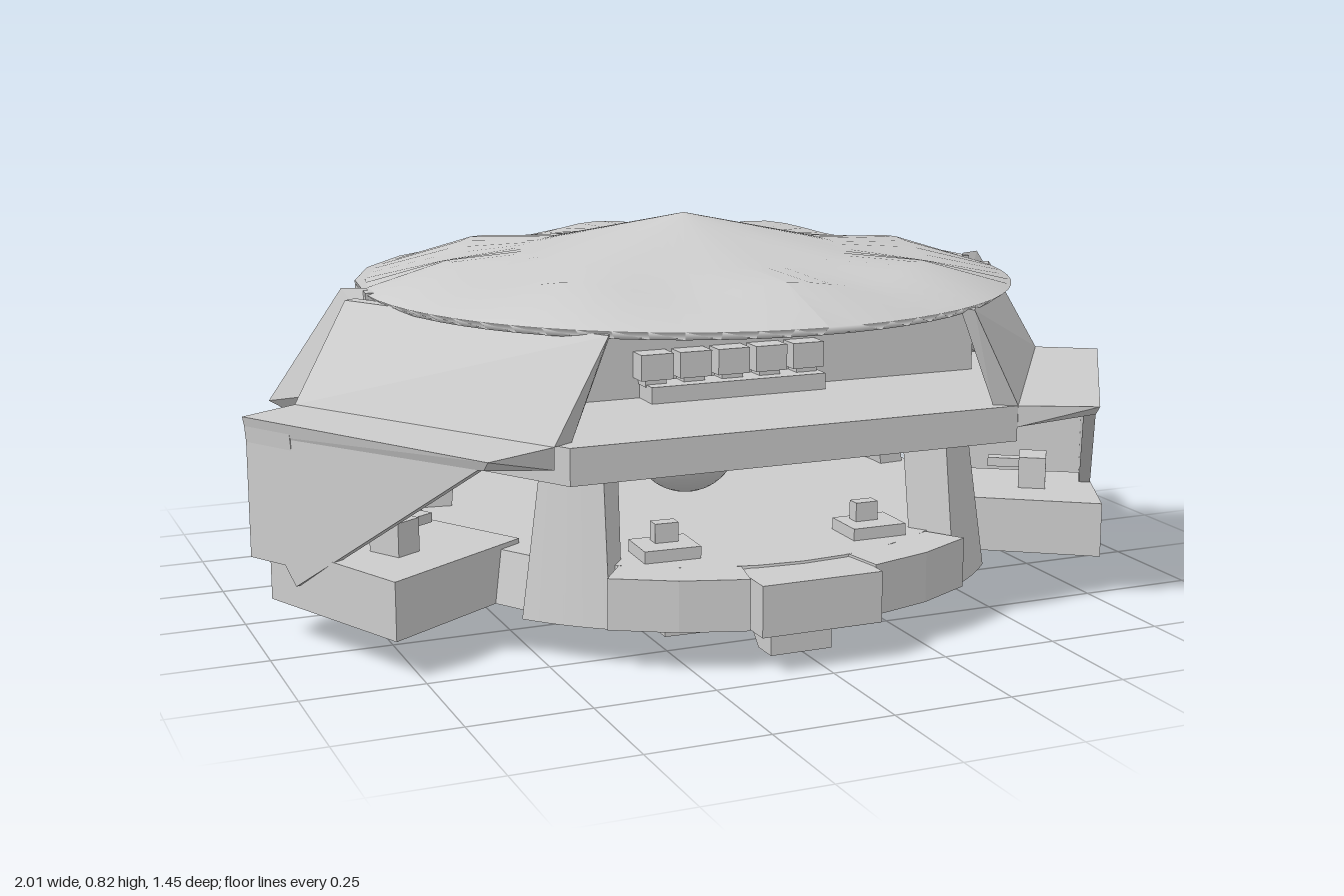
import * as THREE from 'three';
import { ConvexGeometry } from 'three/addons/geometries/ConvexGeometry.js';

const mat = new THREE.MeshStandardMaterial({ color: 0xcccccc, side: THREE.DoubleSide });
const flatMat = new THREE.MeshStandardMaterial({ color: 0xcccccc, flatShading: true, side: THREE.DoubleSide });
const rad = THREE.MathUtils.degToRad;

function add(parent, name, geo, material = mat) {
  const mesh = new THREE.Mesh(geo, material);
  mesh.name = name;
  parent.add(mesh);
  return mesh;
}

// Box given by its limits
function box(x0, x1, y0, y1, z0, z1) {
  return new THREE.BoxGeometry(x1 - x0, y1 - y0, z1 - z0)
    .translate((x0 + x1) / 2, (y0 + y1) / 2, (z0 + z1) / 2);
}

// Curved wall: a box bent round the y axis, angles in degrees from the front.
// The foot spreads outward and sideways; the radius may grow along the wall.
function bent(a0, a1, y0, y1, rIn, rOut, n = 8, spread = 0, splay = 0, grow = 0) {
  const g = new THREE.BoxGeometry(1, 1, 1, n, 1, 1);
  const p = g.attributes.position;
  for (let i = 0; i < p.count; i++) {
    const foot = 0.5 - p.getY(i);
    const a = rad((a0 + a1) / 2 + p.getX(i) * (a1 - a0 + 2 * splay * foot));
    const r = rIn + (p.getZ(i) + 0.5) * (rOut - rIn) + spread * foot + grow * (p.getX(i) + 0.5);
    p.setXYZ(i, r * Math.sin(a), y1 + (y0 - y1) * foot, r * Math.cos(a));
  }
  g.computeVertexNormals();
  return g;
}

const hull = (pts) => new ConvexGeometry(pts.map((p) => new THREE.Vector3(...p)));

// Copy across x = 0 with the winding put right
function mirrorGeometry(source) {
  const g = source.clone().applyMatrix4(new THREE.Matrix4().makeScale(-1, 1, 1));
  const n = g.index ? g.index.count : g.attributes.position.count;
  const idx = Array.from({ length: n }, (_, i) => (g.index ? g.index.getX(i) : i));
  for (let i = 0; i < n; i += 3) [idx[i + 1], idx[i + 2]] = [idx[i + 2], idx[i + 1]];
  g.setIndex(idx);
  return g;
}

// Shallow cone whose middle ring swells into eight soft ribs
function roofGeometry() {
  const profile = [[0, 0.66], [0.69, 0.66], [0.718, 0.68], [0.53, 0.717], [0.35, 0.744], [0, 0.82]];
  const g = new THREE.LatheGeometry(profile.map((p) => new THREE.Vector2(...p)), 64);
  const p = g.attributes.position;
  for (let i = 0; i < p.count; i++) {
    if (Math.abs(Math.hypot(p.getX(i), p.getZ(i)) - 0.53) > 0.01) continue;
    const a = Math.atan2(p.getX(i), p.getZ(i));
    p.setY(i, p.getY(i) + 0.011 * (1 + Math.cos(8 * a)));
  }
  g.computeVertexNormals();
  return g;
}

// Everything that occurs on both sides, built on +x
function buildSide() {
  const side = new THREE.Group();

  // Wing pod, laid out with x outward and z along its length
  const toPod = new THREE.Matrix4().makeRotationY(-0.58);
  const pod = (name, g) => add(side, name, g.applyMatrix4(toPod), flatMat);
  pod('wingSlope', hull([
    [0.742, 0.465, 0.238], [0.764, 0.465, -0.44], [0.65, 0.672, 0.298], [0.65, 0.672, -0.4],
    [0.69, 0.465, 0.238], [0.71, 0.465, -0.44], [0.62, 0.672, 0.28], [0.62, 0.672, -0.4],
  ]));
  pod('wingLedge', hull([
    [0.908, 0.465, 0.218], [0.908, 0.465, -0.44], [0.742, 0.465, 0.238], [0.53, 0.465, -0.44],
    [0.9, 0.445, 0.2], [0.9, 0.43, -0.44], [0.742, 0.42, 0.238], [0.53, 0.42, -0.44],
  ]));
  const skirt = new THREE.Shape([[-0.21, 0.46], [0.31, 0.13], [0.34, 0.17], [0.44, 0.17], [0.44, 0.46]]
    .map((p) => new THREE.Vector2(...p)));
  pod('wingSkirt', new THREE.ExtrudeGeometry(skirt, { depth: 0.025, bevelEnabled: false })
    .rotateY(Math.PI / 2).translate(0.875, 0, 0));
  pod('wingEndBox', hull([-0.44, -0.31].flatMap((z) => [
    [0.53, 0.17, z], [0.53, 0.46, z], [0.875, 0.17, z], [0.905, 0.46, z],
  ])));
  pod('podBase', hull([0.08, 0.165].flatMap((y) => [
    [0.55, y, -0.02], [0.925, y, -0.01], [0.875, y, -0.41], [0.55, y, -0.41],
  ])));
  pod('podFrontBlock', hull([0.16, 0.2].flatMap((y) => [
    [0.55, y, -0.02], [0.925, y, -0.01], [0.89, y, -0.29], [0.55, y, -0.29],
  ])));
  pod('podFitting', box(0.74, 0.8, 0.2, 0.27, -0.2, -0.12));
  pod('podFittingArm', box(0.67, 0.76, 0.24, 0.26, -0.18, -0.15));

  // Pointed fin behind the wing
  add(side, 'fin', hull([
    [0.76, 0.69, -0.03], [0.71, 0.69, -0.01], [0.78, 0.46, -0.12], [0.92, 0.46, -0.03],
    [0.64, 0.5, 0.1], [0.74, 0.39, -0.08], [0.84, 0.41, -0.03],
  ]), flatMat);

  // Walls and pillar between floor and upper deck
  add(side, 'frontPillar', bent(35, 47, 0.08, 0.4, 0.54, 0.64, 6, 0.04, 2));
  add(side, 'sideWall', bent(97, 167, 0.08, 0.4, 0.51, 0.57, 20, 0.03, 2, 0.1));
  add(side, 'buttress', hull([
    [0.65, 0.08, -0.13], [0.48, 0.08, -0.54], [0.48, 0.23, -0.54],
    [0.57, 0.08, -0.13], [0.42, 0.08, -0.5], [0.42, 0.23, -0.5],
  ]), flatMat);

  // Front edge of the floor and its fittings
  add(side, 'frontParapet', bent(10, 33, 0.085, 0.19, 0.61, 0.7, 2), flatMat);
  add(side, 'floorConsole', box(0.16, 0.28, 0.19, 0.215, 0.42, 0.52));
  add(side, 'consoleScreen', box(0.19, 0.24, 0.21, 0.255, 0.44, 0.47));
  add(side, 'underLamp', box(0.12, 0.26, 0.055, 0.085, 0.49, 0.58));
  return side;
}

export function createModel() {
  const model = new THREE.Group();
  model.name = 'model';

  add(model, 'roof', roofGeometry().translate(0, 0, -0.008));

  // Faceted drum round the back, with one slim rail and a block below it
  add(model, 'drum', bent(90, 270, 0.39, 0.685, 0.7, 0.722, 12), flatMat);
  add(model, 'drumRail', box(0.6, 0.655, 0.39, 0.53, -0.33, -0.3));
  add(model, 'rearBlock', box(0.33, 0.4, 0.12, 0.23, -0.6, -0.52), flatMat);

  // Upper deck, whose front edge is the long beam
  const deck = new THREE.Shape();
  deck.moveTo(-0.49, 0.605);
  deck.lineTo(0.49, 0.605);
  deck.lineTo(0.8, 0.1);
  deck.lineTo(0.7, 0);
  deck.absarc(0, 0, 0.7, 0, Math.PI, true);
  deck.lineTo(-0.8, 0.1);
  add(model, 'upperDeck', new THREE.ExtrudeGeometry(deck, { depth: 0.075, bevelEnabled: false, curveSegments: 12 })
    .rotateX(Math.PI / 2).translate(0, 0.465, 0), flatMat);

  // Deep recess under the roof with a row of small panels
  add(model, 'recessWall', box(-0.6, 0.6, 0.46, 0.67, 0.2, 0.23));
  add(model, 'panelShelf', box(-0.2, 0.2, 0.465, 0.5, 0.23, 0.3));
  for (let i = -2; i <= 2; i++) {
    const x = i * 0.087 - 0.005;
    add(model, 'panel', box(x - 0.036, x + 0.036, 0.51, 0.565, 0.23, 0.28));
    add(model, 'panelFoot', box(x - 0.024, x + 0.024, 0.495, 0.515, 0.23, 0.27));
  }

  // Round floor with the ball at its centre
  add(model, 'floor', new THREE.CylinderGeometry(0.61, 0.63, 0.11, 40).translate(0, 0.135, 0));
  add(model, 'centreBall', new THREE.SphereGeometry(0.12, 32, 20).translate(0, 0.31, 0));

  // Nose box and the block hanging beneath it
  add(model, 'noseBox', box(-0.14, 0.12, 0.08, 0.185, 0.6, 0.72), flatMat);
  add(model, 'noseBlock', hull([-0.07, 0.065].flatMap((x) => [
    [x, 0.085, 0.61], [x, 0, 0.61], [x, 0, 0.55], [x, 0.04, 0.51], [x, 0.085, 0.51],
  ])), flatMat);

  // Square plate and dome under the floor
  add(model, 'bellyPlate', box(-0.15, 0.15, 0.065, 0.085, -0.15, 0.15), flatMat);
  add(model, 'bellyRing', new THREE.CylinderGeometry(0.088, 0.07, 0.016, 28).translate(0, 0.06, 0));
  add(model, 'bellyDome', new THREE.SphereGeometry(0.055, 24, 14).scale(1, 0.7, 1).translate(0, 0.06, 0));

  // Left side and its slightly turned mirror copy
  const left = buildSide();
  left.name = 'leftSide';
  const right = new THREE.Group();
  right.name = 'rightSide';
  left.children.forEach((m) => add(right, m.name, mirrorGeometry(m.geometry), m.material));
  right.rotation.y = -0.04;
  model.add(left, right);
  return model;
}
